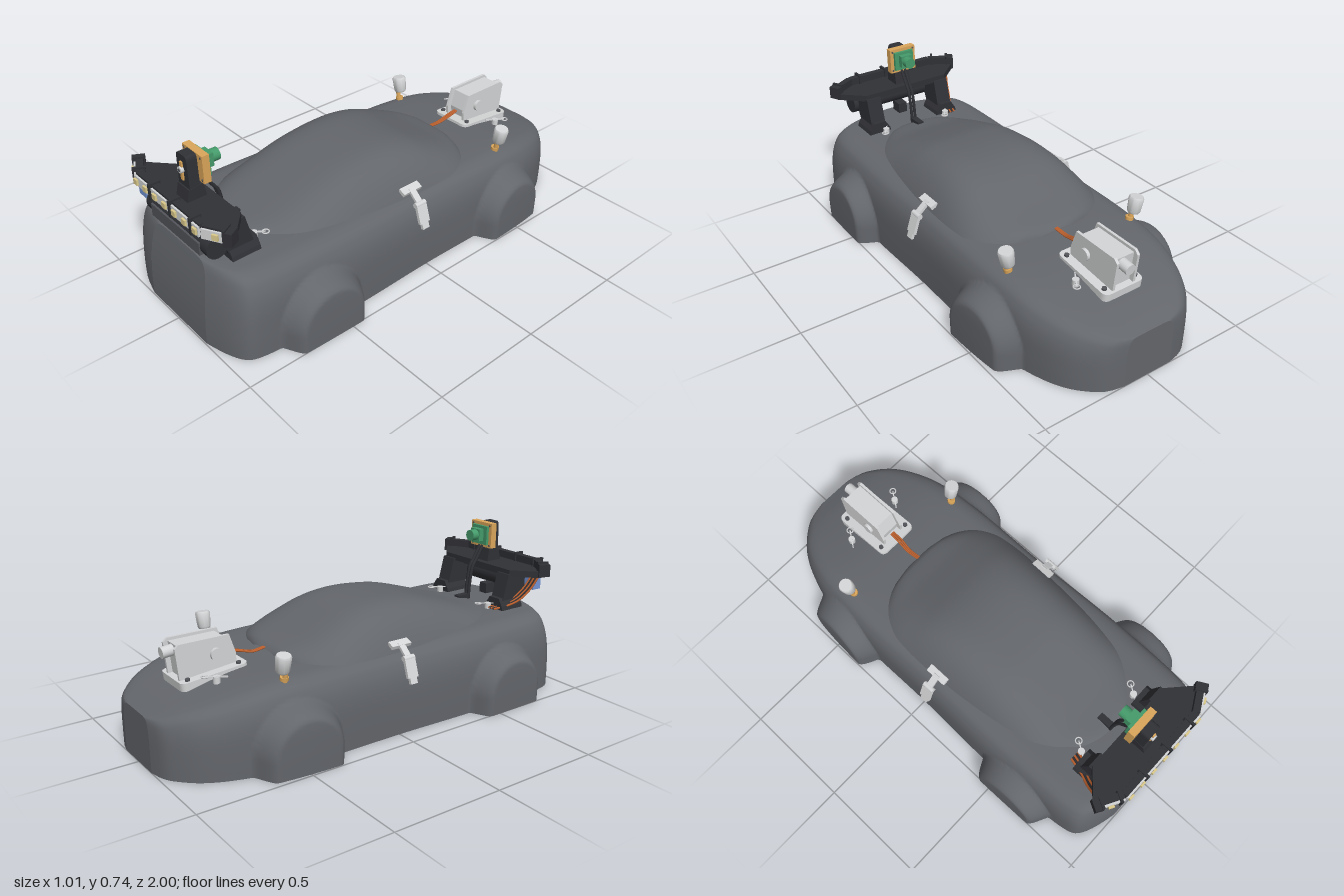
import * as THREE from 'three';
import { toCreasedNormals } from 'three/addons/utils/BufferGeometryUtils.js';

const mat = (name, color, side = THREE.FrontSide) => {
  const m = new THREE.MeshStandardMaterial({ color, side });
  m.name = name;
  return m;
};

// Smooth interpolation through [position, value] pairs in ascending order
function curveAt(table, p) {
  const n = table.length - 1;
  if (p <= table[0][0]) return table[0][1];
  if (p >= table[n][0]) return table[n][1];
  let i = 0;
  while (p > table[i + 1][0]) i++;
  const slope = (k) => {
    const a = table[Math.max(k - 1, 0)], b = table[Math.min(k + 1, n)];
    return (b[1] - a[1]) / (b[0] - a[0]);
  };
  const [x0, y0] = table[i], [x1, y1] = table[i + 1];
  const h = x1 - x0, t = (p - x0) / h, t2 = t * t, t3 = t2 * t;
  return y0 * (2 * t3 - 3 * t2 + 1) + y1 * (3 * t2 - 2 * t3)
    + h * (slope(i) * (t3 - 2 * t2 + t) + slope(i + 1) * (t3 - t2));
}

// Skin through rows of points running left to right, rows ordered back to front
function loft(rows) {
  const cols = rows[0].length, index = [];
  for (let r = 0; r < rows.length - 1; r++) {
    for (let c = 0; c < cols - 1; c++) {
      const a = r * cols + c, b = a + cols;
      index.push(a, b, a + 1, a + 1, b, b + 1);
    }
  }
  const g = new THREE.BufferGeometry();
  g.setAttribute('position', new THREE.Float32BufferAttribute(rows.flat(2), 3));
  g.setIndex(index);
  g.computeVertexNormals();
  return g;
}

export function createModel() {
  const model = new THREE.Group();
  model.name = 'modelCar';
  const grey = mat('bodyGrey', 0x63666b, THREE.DoubleSide);
  const black = mat('black', 0x303136);
  const charcoal = mat('charcoal', 0x53555a);
  const silver = mat('silver', 0xd4d5d6);
  const gold = mat('gold', 0xdba65a);
  const cream = mat('lampCream', 0xdccb8c);
  const green = mat('boardGreen', 0x459b6b);
  const blue = mat('blue', 0x7495d6);
  const orange = mat('wireOrange', 0xc0622f);

  const add = (name, geo, material, pos = [0, 0, 0], rot = [0, 0, 0], parent = model) => {
    const m = new THREE.Mesh(geo, material);
    m.name = name;
    m.position.set(...pos);
    m.rotation.set(...rot);
    parent.add(m);
    return m;
  };
  const box = (x, y, z) => new THREE.BoxGeometry(x, y, z);
  const cyl = (r0, r1, h) => new THREE.CylinderGeometry(r0, r1, h, 20);
  const polygon = (pts) => new THREE.Shape(pts.map((p) => new THREE.Vector2(...p)));
  const extrude = (shape, depth) => new THREE.ExtrudeGeometry(shape, { depth, bevelEnabled: false });
  // Profile in (z, y) with its thickness across x
  const sideProfile = (pts, depth) =>
    extrude(polygon(pts), depth).rotateY(-Math.PI / 2).translate(depth / 2, 0, 0);
  const tube = (pts, r) => new THREE.TubeGeometry(
    new THREE.CatmullRomCurve3(pts.map((p) => new THREE.Vector3(...p))), 20, r, 6);

  // Body shell: half-width and deck height along z, wheel arches swelling outwards
  const width = [[-1, 0.12], [-0.985, 0.185], [-0.95, 0.24], [-0.88, 0.305], [-0.78, 0.355], [-0.65, 0.39],
    [-0.4, 0.41], [0, 0.41], [0.4, 0.42], [0.75, 0.415], [0.86, 0.405], [0.92, 0.385], [0.95, 0.345],
    [0.975, 0.28], [0.995, 0.2]];
  const deck = [[-1, 0.225], [-0.9, 0.265], [-0.75, 0.305], [-0.6, 0.332], [-0.4, 0.345], [0, 0.352],
    [0.5, 0.362], [0.8, 0.366], [0.995, 0.366]];
  const half = new THREE.CatmullRomCurve3([[1, 0], [1.005, 0.3], [1, 0.58], [0.98, 0.73], [0.95, 0.83],
    [0.9, 0.92], [0.8, 0.98], [0.65, 1], [0.3, 1.005], [0, 1.005]]
    .map(([s, f]) => new THREE.Vector3(s, f, 0))).getSpacedPoints(60);
  const section = [...half.map((p) => [-p.x, p.y]), ...half.slice(0, -1).reverse().map((p) => [p.x, p.y])];
  const arch = (z, y, zc, size) => {
    const d = Math.hypot(z - zc, Math.max(0, y - 0.08));
    return size * (1 - THREE.MathUtils.smoothstep(d, 0.14, 0.198)) ** 0.65;
  };
  const bodyRow = (z) => section.map(([s, f]) => {
    const y = f * curveAt(deck, z);
    const swell = arch(z, y, 0.59, 0.085) + arch(z, y, -0.5, 0.085);
    return [s * curveAt(width, z) + Math.sign(s) * swell * Math.min(1, Math.abs(s) * 1.05),
      y, z - 0.045 * (y / 0.366) ** 2 * Math.max(0, (z - 0.7) / 0.295)];
  });
  const bodyRows = [];
  for (let i = 0; i <= 190; i++) bodyRows.push(bodyRow(-1 + 1.995 * i / 190));
  // End panels curve down from the last section to the sill
  const panelRows = (row, z, lean) => [1, 0.8, 0.6, 0.4, 0.2, 0].map((k) =>
    row.map(([x, y]) => [x, y * k, z - lean * (y * k / 0.366) ** 2]));
  add('bodyShell', loft(bodyRows), grey);
  add('frontPanel', loft(panelRows(bodyRows[190], 0.995, 0.045)), grey);
  add('tailPanel', loft(panelRows(bodyRows[0], -1, 0).reverse()), grey);

  // Cabin dome
  const cabinWidth = [[-0.415, 0.1], [-0.405, 0.16], [-0.38, 0.225], [-0.33, 0.288], [-0.25, 0.33], [-0.15, 0.346],
    [0, 0.348], [0.3, 0.328], [0.5, 0.297], [0.58, 0.27], [0.65, 0.225], [0.72, 0.15], [0.75, 0.07]];
  const cabinTop = [[-0.415, 0.355], [-0.4, 0.372], [-0.3, 0.408], [-0.2, 0.45], [-0.1, 0.49], [0, 0.511],
    [0.1, 0.516], [0.2, 0.509], [0.3, 0.494], [0.45, 0.45], [0.6, 0.402], [0.72, 0.377], [0.75, 0.366]];
  const cabinRows = [];
  for (let i = 0; i <= 80; i++) {
    const z = -0.415 + 1.165 * i / 80, base = curveAt(deck, z) - 0.01, row = [];
    for (let j = -20; j <= 20; j++) {
      const u = Math.sin(j / 20 * Math.PI / 2);
      row.push([u * curveAt(cabinWidth, z),
        base + (curveAt(cabinTop, z) - base) * (1 - Math.abs(u) ** 4.4), z]);
    }
    cabinRows.push(row);
  }
  add('cabin', loft(cabinRows), grey);

  // Light bar: a straight middle with two swept ends
  const onBar = (name, geo, material, x, y, out) => {
    const over = Math.max(0, Math.abs(x) - 0.226), turn = over > 0 ? Math.sign(x) * 0.5 : 0;
    add(name, geo, material,
      [x + Math.sin(turn) * out, y, 0.966 - over * 0.55 + Math.cos(turn) * out], [0, turn, 0]);
  };
  for (const [x, len] of [[-0.282, 0.126], [0, 0.452], [0.282, 0.126]]) {
    onBar('lightBarHousing', box(len, 0.058, 0.03), black, x, 0.555, 0);
    onBar('lightStrip', box(len, 0.044, 0.009), silver, x, 0.553, 0.0185);
  }
  for (let i = -4; i <= 4; i++) onBar('lamp', box(0.025, 0.025, 0.009), cream, i * 0.07, 0.555, 0.0285);
  for (const x of [-0.31, -0.242, -0.11, 0.035, 0.178, 0.31]) {
    onBar('barClip', box(0.011, 0.072, 0.052), black, x, 0.556, 0.004);
  }
  for (const s of [-1, 1]) onBar('barEnd', box(0.028, 0.058, 0.052), black, s * 0.327, 0.555, 0.004);
  const tray = polygon([[-0.33, 0.9], [-0.226, 0.965], [0.226, 0.965], [0.33, 0.9], [0.22, 0.8], [-0.22, 0.8]]);
  add('lightBarTray', extrude(tray, 0.03).rotateX(Math.PI / 2), black, [0, 0.55, 0]);

  // Legs carrying the bar
  for (const s of [-1, 1]) {
    add('barLeg', sideProfile([[0.75, 0.37], [0.86, 0.37], [0.89, 0.44], [0.89, 0.53], [0.79, 0.53]], 0.075),
      black, [s * 0.19, 0, 0]);
    add('barFoot', extrude(polygon([[-0.058, 0], [0.058, 0], [0.052, 0.02], [0.03, 0.055], [-0.03, 0.055],
      [-0.052, 0.02]]), 0.13), black, [s * 0.19, 0.365, 0.74]);
  }

  // Sensor barrel under the bar
  add('sensorBarrel', cyl(0.048, 0.048, 0.43), black, [0.035, 0.468, 0.93], [0, 0, Math.PI / 2]);
  add('sensorWindow', box(0.34, 0.055, 0.02), charcoal, [0.035, 0.459, 0.972]);
  add('sensorBracket', box(0.42, 0.03, 0.08), black, [0.02, 0.51, 0.9]);
  add('sensorMount', box(0.045, 0.05, 0.06), black, [0, 0.405, 0.88]);
  add('connectorBlock', box(0.055, 0.055, 0.05), blue, [-0.25, 0.477, 0.93]);
  for (let i = 0; i < 5; i++) {
    const d = i * 0.01;
    add('barWire', tube([[-0.3 + d, 0.515, 0.91], [-0.285 + d, 0.46, 0.88], [-0.265 + d, 0.41, 0.83],
      [-0.24 + d, 0.385, 0.78], [-0.22 + d, 0.375, 0.71]], 0.005), i % 2 ? black : orange);
  }

  // Camera mast, board and lens
  const mast = new THREE.Shape();
  mast.moveTo(-0.04, 0.5).lineTo(0.04, 0.5).lineTo(0.036, 0.715).quadraticCurveTo(0.036, 0.74, 0.022, 0.74)
    .lineTo(-0.022, 0.74).quadraticCurveTo(-0.036, 0.74, -0.036, 0.715);
  add('cameraMast', extrude(mast, 0.045), black, [0, 0, 0.855]);
  add('mastBase', sideProfile([[0.83, 0.54], [0.92, 0.54], [0.905, 0.6], [0.84, 0.61]], 0.08), black);
  add('mastSlot', box(0.015, 0.08, 0.008), gold, [0, 0.67, 0.903]);
  add('mastScrew', cyl(0.014, 0.014, 0.014), silver, [0, 0.676, 0.907], [Math.PI / 2, 0, 0]);
  add('mastScrewCore', cyl(0.007, 0.007, 0.018), charcoal, [0, 0.676, 0.907], [Math.PI / 2, 0, 0]);
  add('cameraBackplate', box(0.136, 0.12, 0.032), gold, [0, 0.68, 0.837]);
  add('cameraBoard', box(0.1, 0.09, 0.016), green, [0, 0.68, 0.815]);
  add('lensHolder', box(0.058, 0.058, 0.03), green, [0, 0.683, 0.795]);
  add('lens', cyl(0.026, 0.026, 0.06), green, [0, 0.683, 0.776], [Math.PI / 2, 0, 0]);
  for (const sx of [-1, 1]) for (const y of [0.632, 0.728]) {
    add('boardScrew', cyl(0.005, 0.005, 0.036), charcoal, [sx * 0.056, y, 0.837], [Math.PI / 2, 0, 0]);
  }
  for (const x of [-0.009, 0.009]) {
    add('cameraCable', tube([[x, 0.625, 0.825], [x, 0.56, 0.785], [x, 0.53, 0.765], [x, 0.45, 0.75],
      [x, 0.37, 0.745]], 0.008), black);
  }
  add('cableClamp', box(0.03, 0.02, 0.07), black, [0, 0.385, 0.71]);

  // Rear unit on its tilted base plate
  const unit = new THREE.Group();
  unit.name = 'rearUnit';
  unit.position.set(0, 0.325, -0.69);
  unit.rotation.x = -0.1;
  model.add(unit);
  const part = (name, geo, material, pos, rot) => add(name, geo, material, pos, rot, unit);
  const plate = new THREE.Shape();
  plate.moveTo(-0.07, -0.15).lineTo(0.07, -0.15).quadraticCurveTo(0.1, -0.15, 0.1, -0.12).lineTo(0.1, 0.12)
    .quadraticCurveTo(0.1, 0.15, 0.07, 0.15).lineTo(-0.07, 0.15).quadraticCurveTo(-0.1, 0.15, -0.1, 0.12)
    .lineTo(-0.1, -0.12).quadraticCurveTo(-0.1, -0.15, -0.07, -0.15);
  part('basePlate', extrude(plate, 0.035).rotateX(Math.PI / 2), silver, [0, 0.012, 0]);
  part('unitCase', sideProfile([[-0.12, 0.01], [0.09, 0.01], [0.1, 0.05], [0.085, 0.128], [-0.12, 0.148]], 0.09),
    silver);
  for (const s of [-1, 1]) {
    part('unitSide', sideProfile([[-0.14, 0.01], [0.115, 0.01], [0.12, 0.05], [0.1, 0.138], [-0.12, 0.16],
      [-0.14, 0.145]], 0.012), silver, [s * 0.052, 0, 0]);
    part('unitBoss', cyl(0.026, 0.026, 0.02), silver, [s * 0.062, 0.075, 0.03], [0, 0, Math.PI / 2]);
    for (const z of [-0.115, 0.115]) {
      part('plateScrew', cyl(0.01, 0.01, 0.012), charcoal, [s * 0.078, 0.015, z]);
    }
  }
  part('unitKnob', cyl(0.024, 0.024, 0.09), silver, [0.012, 0.12, -0.125], [Math.PI / 2, 0, 0]);
  for (let i = -1; i <= 1; i++) {
    add('rearWire', tube([[i * 0.007, 0.38, -0.58], [i * 0.009, 0.37, -0.53], [i * 0.007 - 0.004, 0.355, -0.47],
      [i * 0.006, 0.36, -0.41]], 0.004), orange);
  }

  // Paired side parts
  const domeProfile = [[0, -0.038], [0.024, -0.038], [0.029, -0.03], [0.033, 0.03], [0.029, 0.038],
    [0, 0.038]].map((p) => new THREE.Vector2(...p));
  for (const s of [-1, 1]) {
    add('antennaDome', toCreasedNormals(new THREE.LatheGeometry(domeProfile, 24), 0.6), silver,
      [s * 0.332, 0.413, -0.522], [0, 0, -s * 0.18]);
    add('antennaStem', cyl(0.011, 0.011, 0.1), gold, [s * 0.322, 0.335, -0.51], [0, 0, -s * 0.15]);
    add('antennaNut', cyl(0.018, 0.018, 0.014), gold, [s * 0.318, 0.345, -0.51], [0, 0, -s * 0.15]);

    add('sideClip', box(0.035, 0.016, 0.1), silver, [s * 0.34, 0.378, 0.045], [0, 0, -s * 0.4]);
    add('sideClipArm', box(0.08, 0.012, 0.03), silver, [s * 0.374, 0.357, 0.045], [0, 0, -s * 0.72]);
    add('sideLatch', box(0.014, 0.085, 0.054), silver, [s * 0.417, 0.295, 0.045], [0, 0, s * 0.32]);
    add('sideLatchTip', box(0.014, 0.03, 0.035), silver, [s * 0.434, 0.244, 0.045], [0, 0, s * 0.32]);
    add('sideLatchPivot', cyl(0.012, 0.012, 0.055), silver, [s * 0.4, 0.333, 0.045], [Math.PI / 2, 0, 0]);

    // Body pins fore and aft
    for (const [x, z, y] of [[0.17, 0.72, 0.378], [0.14, -0.71, 0.328]]) {
      add('bodyPost', cyl(0.015, 0.015, 0.03), silver, [s * x, y, z]);
      add('pinLoop', new THREE.TorusGeometry(0.014, 0.003, 6, 16), silver,
        [s * x + 0.026, y + 0.012, z - 0.038], [Math.PI / 2, 0, 0]);
      add('pinRod', box(0.005, 0.005, 0.09), silver, [s * x, y + 0.013, z], [0, -0.6, 0]);
    }
  }

  // Inside: circuit board and screws below the deck
  add('innerBoard', box(0.14, 0.012, 0.2), green, [0.07, 0.333, -0.02]);
  for (const x of [-0.2, 0, 0.2]) for (const z of [0.2, 0.5]) {
    add('deckScrew', cyl(0.008, 0.008, 0.01), silver, [x, 0.35, z]);
  }
  return model;
}
